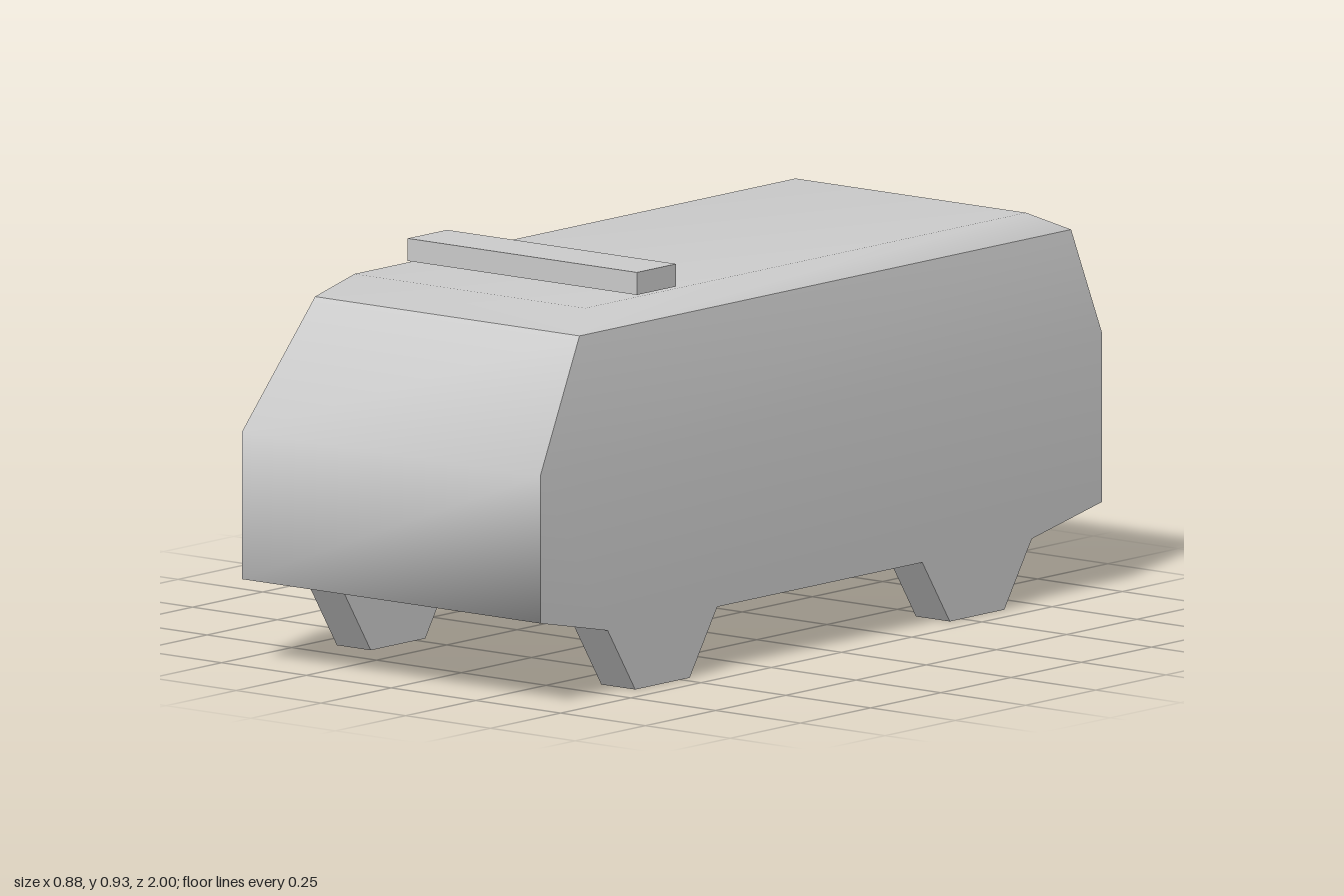
import * as THREE from 'three';
import { mergeGeometries, mergeVertices } from 'three/addons/utils/BufferGeometryUtils.js';

const HALF = 0.44, SHOULDER = 0.39, ROOF = 0.34;

// Smooth surface from rows of points, each row running to the viewer's right, rows going up
function loft(rows) {
  const n = rows[0].length, index = [];
  for (let r = 0; r < rows.length - 1; r++) {
    for (let i = 0; i < n - 1; i++) {
      const a = r * n + i, b = a + 1, c = a + n, d = c + 1;
      index.push(a, b, d, a, d, c);
    }
  }
  const g = new THREE.BufferGeometry();
  g.setAttribute('position', new THREE.Float32BufferAttribute(rows.flat(2), 3));
  g.setIndex(index);
  g.computeVertexNormals();
  return g;
}

// Joins pieces and shares their normals
function weld(parts) {
  for (const p of parts) { p.deleteAttribute('uv'); p.deleteAttribute('normal'); }
  const g = mergeVertices(mergeGeometries(parts), 1e-4);
  g.computeVertexNormals();
  return g;
}

// Reflects a geometry to the other side of the body
function mirrorX(g) {
  const m = g.clone();
  const p = m.attributes.position;
  for (let i = 0; i < p.count; i++) p.setX(i, -p.getX(i));
  const ix = Array.from(m.index.array);
  for (let i = 0; i < ix.length; i += 3) [ix[i], ix[i + 1]] = [ix[i + 1], ix[i]];
  m.setIndex(ix);
  m.computeVertexNormals();
  return m;
}

// Shape in the (z, y) plane, turned to face +x after rotateY
const sideShape = (pts) => new THREE.Shape(pts.map(([z, y]) => new THREE.Vector2(-z, y)));

export function createModel() {
  const model = new THREE.Group();
  const paint = new THREE.MeshStandardMaterial({ color: 0xcccccc });
  paint.name = 'light grey';
  const add = (name, geometry) => {
    const mesh = new THREE.Mesh(geometry, paint);
    mesh.name = name;
    model.add(mesh);
    return mesh;
  };

  // Nose and tail: curved-looking panels from the sill to the shoulder line
  const span = (w, y, z) => [[-w, y, z], [w, y, z]];
  add('nose', loft([
    span(HALF, 0.15, 0.76), span(HALF, 0.2, 1), span(HALF, 0.54, 1), span(SHOULDER, 0.83, 0.8),
  ]));
  add('tail', loft([
    span(-HALF, 0.15, -0.75), span(-HALF, 0.2, -1), span(-HALF, 0.59, -1), span(-SHOULDER, 0.83, -0.95),
  ]));

  // Sides: flat lower panel plus the upper panel leaning inwards
  const lower = new THREE.ShapeGeometry(sideShape([
    [0.76, 0.15], [-0.75, 0.15], [-1, 0.2], [-1, 0.59], [1, 0.54], [1, 0.2],
  ])).rotateY(Math.PI / 2).translate(HALF, 0, 0);
  const upper = loft([
    [[HALF, 0.54, 1], [HALF, 0.59, -1]],
    [[SHOULDER, 0.83, 0.8], [SHOULDER, 0.83, -0.95]],
  ]);
  const side = weld([lower, upper]);
  add('leftSide', side);
  add('rightSide', mirrorX(side));

  // Roof: bevelled rim and flat top sharing normals
  const ring = (w, y, front, back) => [
    [-w, y, front], [w, y, front], [w, y, back], [-w, y, back], [-w, y, front],
  ];
  const rim = loft([ring(SHOULDER, 0.83, 0.8, -0.95), ring(ROOF, 0.877, 0.72, -0.85)]);
  const top = loft([span(ROOF, 0.877, 0.72), span(ROOF, 0.877, -0.85)]);
  add('roof', weld([rim, top]));

  // Floor
  add('floor', loft([span(HALF, 0.15, -0.75), span(HALF, 0.15, 0.76)]));

  // Wheels: angular blocks flush with the sides
  for (const [name, z] of [['front', 0.565], ['rear', -0.555]]) {
    const shape = sideShape([
      [z + 0.195, 0.15], [z + 0.097, 0], [z - 0.097, 0], [z - 0.195, 0.15],
    ]);
    for (const [sideName, x] of [['Left', ROOF], ['Right', -HALF]]) {
      const wheel = new THREE.ExtrudeGeometry(shape, { depth: HALF - ROOF, bevelEnabled: false });
      add(name + sideName + 'Wheel', wheel.rotateY(Math.PI / 2).translate(x, 0, 0));
    }
  }

  // Light bar across the roof
  add('lightBar', new THREE.BoxGeometry(0.676, 0.052, 0.14)).position.set(0, 0.907, 0.463);

  return model;
}
